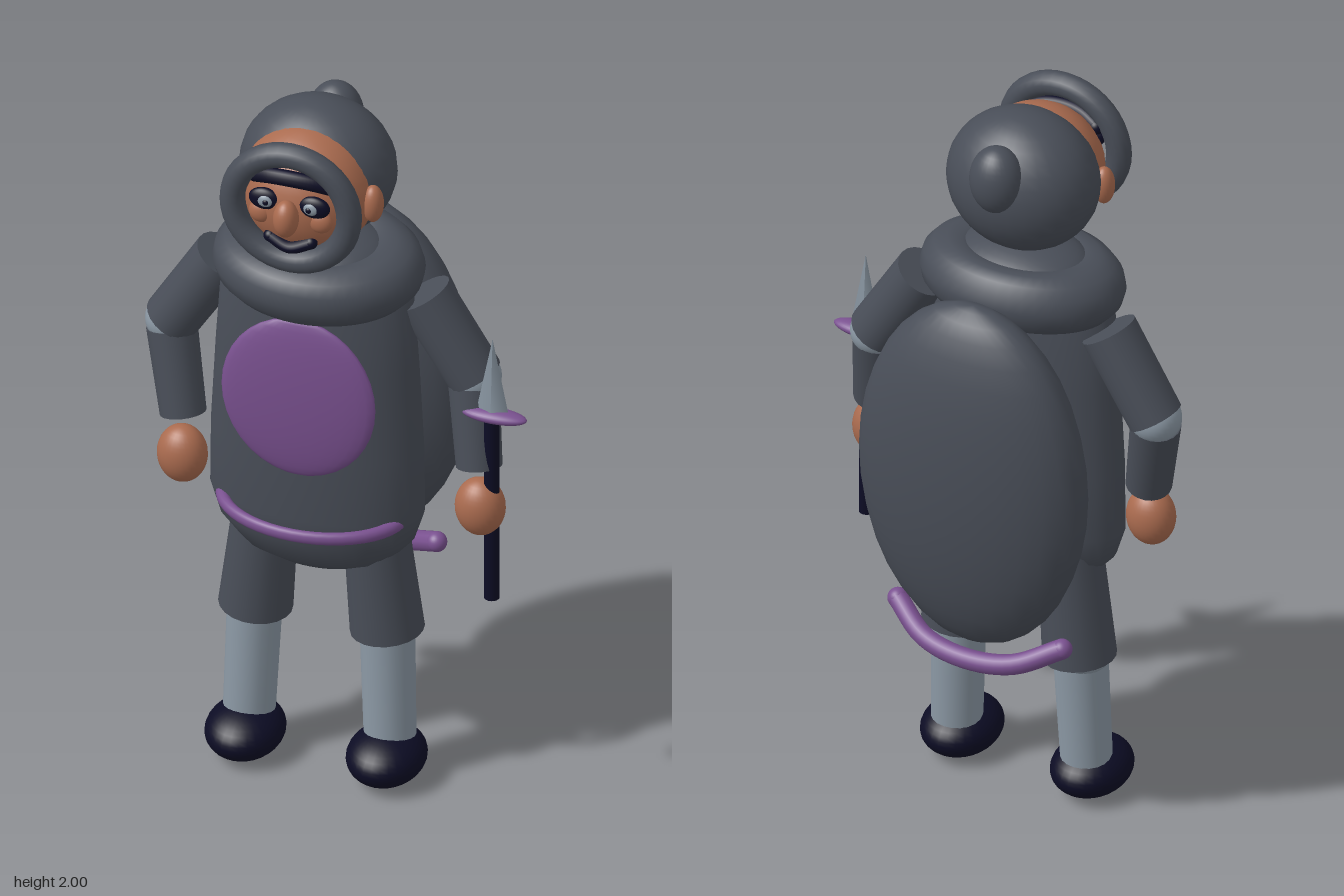
import * as THREE from 'three';

const mat = (name, color) => Object.assign(new THREE.MeshStandardMaterial({ color }), { name });

export function createModel() {
  const charcoal = mat('charcoal cloth', 0x494e58);
  const skin = mat('skin', 0xaa6b4f);
  const purple = mat('purple trim', 0x7a5190);
  const steel = mat('pale steel', 0x8c99a5);
  const navy = mat('dark navy', 0x0c0c24);

  const model = new THREE.Group();
  model.name = 'hoodedFigure';
  const body = new THREE.Group(); // everything sits on the figure's own centre line
  body.name = 'figure';
  body.position.x = -0.05;
  model.add(body);

  const add = (name, geometry, material, pos = [0, 0, 0], scale = [1, 1, 1]) => {
    const mesh = new THREE.Mesh(geometry, material);
    mesh.name = name;
    mesh.position.set(...pos);
    mesh.scale.set(...scale);
    body.add(mesh);
    return mesh;
  };
  const ball = (name, material, pos, radii) =>
    add(name, new THREE.SphereGeometry(1, 28, 18), material, pos, radii);
  // Tapered cylinder running between two points
  const limb = (name, material, from, to, r0, r1) => {
    const a = new THREE.Vector3(...from), b = new THREE.Vector3(...to);
    const mesh = add(name, new THREE.CylinderGeometry(r1, r0, a.distanceTo(b), 20), material);
    mesh.position.copy(a).add(b).multiplyScalar(0.5);
    mesh.quaternion.setFromUnitVectors(new THREE.Vector3(0, 1, 0), b.sub(a).normalize());
    return mesh;
  };
  // Round bar through a few points, with rounded ends
  const bar = (name, material, points, r) => {
    const pts = points.map((p) => new THREE.Vector3(...p));
    add(name, new THREE.TubeGeometry(new THREE.CatmullRomCurve3(pts), 24, r, 10), material);
    for (const p of [points[0], points[points.length - 1]]) ball(name + 'End', material, p, [r, r, r]);
  };

  // Torso, chest panel, belt and collar
  const profile = [[0, 0.62], [0.12, 0.625], [0.2, 0.66], [0.26, 0.73], [0.285, 0.81],
    [0.283, 1], [0.27, 1.25], [0.255, 1.47], [0.2, 1.55], [0, 1.6]].map((p) => new THREE.Vector2(...p));
  add('torso', new THREE.LatheGeometry(profile, 36), charcoal, [0, 0, 0.065], [1, 1, 0.48]);
  ball('chestPanel', purple, [0, 1.195, 0.213], [0.207, 0.235, 0.032]);
  const ring = (R, r) => new THREE.TorusGeometry(R, r, 14, 48).rotateX(Math.PI / 2);
  add('belt', ring(0.24, 0.018), purple, [0, 0.805, 0.09], [1, 1, 0.71]);
  const collar = add('collar', ring(0.185, 0.09), charcoal, [0, 1.515, 0.055], [1.01, 0.92, 0.78]);
  collar.rotation.x = 0.1;
  ball('neck', charcoal, [0, 1.55, 0.055], [0.19, 0.08, 0.15]);

  // Large back pack with a curved strap below
  ball('backPack', charcoal, [0, 1.055, -0.197], [0.325, 0.505, 0.148]);
  bar('backStrap', purple, [[-0.24, 0.575, -0.165], [-0.13, 0.525, -0.222], [0, 0.51, -0.238],
    [0.13, 0.525, -0.222], [0.24, 0.575, -0.165]], 0.027);

  // Head, hood and hood rim
  ball('head', skin, [0, 1.79, 0.13], [0.176, 0.178, 0.17]);
  ball('hood', charcoal, [0, 1.805, 0.058], [0.205, 0.19, 0.172]);
  ball('hoodBump', charcoal, [0, 1.875, -0.077], [0.073, 0.095, 0.066]);
  add('hoodRim', new THREE.TorusGeometry(0.157, 0.033, 14, 40), charcoal, [0, 1.805, 0.272]);

  // Face
  ball('nose', skin, [0, 1.795, 0.31], [0.033, 0.052, 0.036]);
  bar('brow', navy, [[-0.1, 1.878, 0.256], [-0.05, 1.892, 0.272], [0, 1.896, 0.277],
    [0.05, 1.892, 0.272], [0.1, 1.878, 0.256]], 0.021);
  bar('mouth', navy, [[-0.055, 1.712, 0.274], [0, 1.693, 0.283], [0.055, 1.712, 0.274]], 0.017);

  for (const s of [-1, 1]) {
    const side = s > 0 ? 'left' : 'right';
    ball(side + 'EyeSocket', navy, [s * 0.067, 1.827, 0.283], [0.042, 0.031, 0.018]);
    ball(side + 'Eye', steel, [s * 0.062, 1.827, 0.294], [0.021, 0.018, 0.011]);
    ball(side + 'Pupil', navy, [s * 0.058, 1.827, 0.303], [0.008, 0.008, 0.005]);
    ball(side + 'Cheek', skin, [s * 0.08, 1.78, 0.272], [0.032, 0.032, 0.022]);
    ball(side + 'Ear', skin, [s * 0.18, 1.785, 0.155], [0.028, 0.053, 0.03]);

    // Legs
    limb(side + 'Thigh', charcoal, [s * 0.145, 0.76, 0.04], [s * 0.177, 0.425, 0.035], 0.083, 0.096);
    ball(side + 'Knee', steel, [s * 0.177, 0.445, 0.035], [0.086, 0.07, 0.077]);
    limb(side + 'Shin', steel, [s * 0.178, 0.44, 0.038], [s * 0.19, 0.09, 0.05], 0.071, 0.067);
    ball(side + 'Foot', navy, [s * 0.19, 0.07, 0.077], [0.102, 0.07, 0.124]);

    // Arms: the left hand reaches further out to hold the spear
    const wrist = s > 0 ? [0.436, 0.995, 0.07] : [-0.36, 0.985, 0.07];
    const hand = s > 0 ? [0.446, 0.885, 0.09] : [-0.355, 0.875, 0.09];
    const elbow = [s * 0.408, 1.23, 0.02];
    limb(side + 'UpperArm', charcoal, [s * 0.27, 1.45, 0.022], elbow, 0.075, 0.073);
    ball(side + 'Elbow', steel, elbow, [0.068, 0.068, 0.068]);
    limb(side + 'Forearm', charcoal, [s * 0.406, 1.21, 0.025], wrist, 0.066, 0.06);
    ball(side + 'Hand', skin, hand, [0.066, 0.081, 0.058]);
  }

  // Spear
  limb('spearShaft', navy, [0.477, 0.615, 0.09], [0.477, 1.17, 0.09], 0.02, 0.02);
  ball('spearGuard', purple, [0.482, 1.165, 0.087], [0.088, 0.018, 0.031]);
  add('spearBlade', new THREE.ConeGeometry(0.045, 0.23, 4), steel, [0.478, 1.28, 0.087], [1, 1, 0.38]);

  return model;
}
